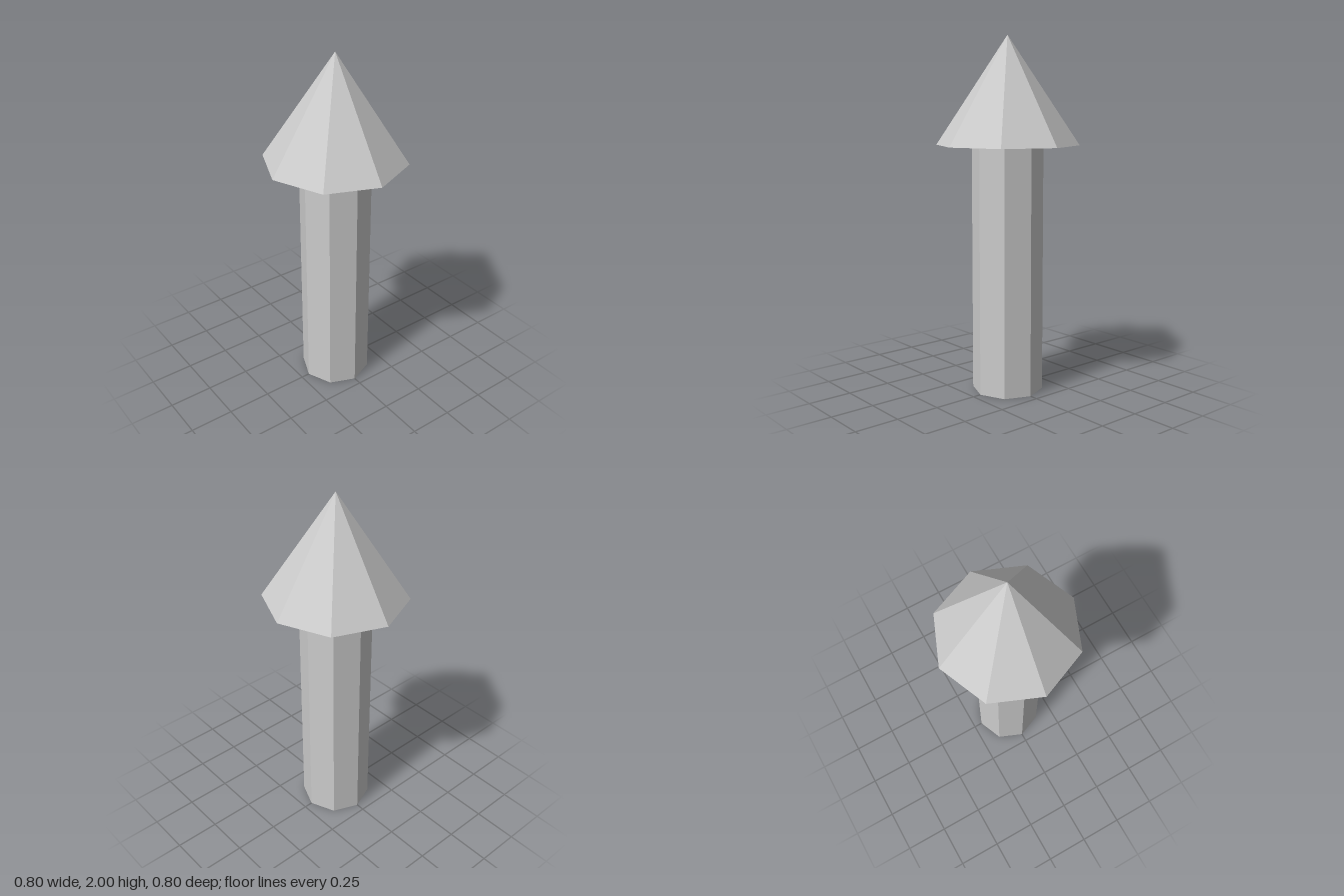
import * as THREE from 'three';

const SIDES = 8;
const SHAFT_HEIGHT = 1.4;
const HEAD_HEIGHT = 0.6;

export function createModel() {
  const model = new THREE.Group();
  model.name = 'arrow';
  const material = new THREE.MeshStandardMaterial({ color: 0xcccccc, flatShading: true });

  // Adds a part standing on the given base height
  const addPart = (name, geometry, height, baseY) => {
    const mesh = new THREE.Mesh(geometry, material);
    mesh.name = name;
    mesh.position.y = baseY + height / 2;
    model.add(mesh);
  };

  // Octagonal shaft
  addPart('shaft', new THREE.CylinderGeometry(0.2, 0.2, SHAFT_HEIGHT, SIDES), SHAFT_HEIGHT, 0);

  // Pointed octagonal head, closed underneath
  addPart('head', new THREE.ConeGeometry(0.4, HEAD_HEIGHT, SIDES), HEAD_HEIGHT, SHAFT_HEIGHT);

  return model;
}
